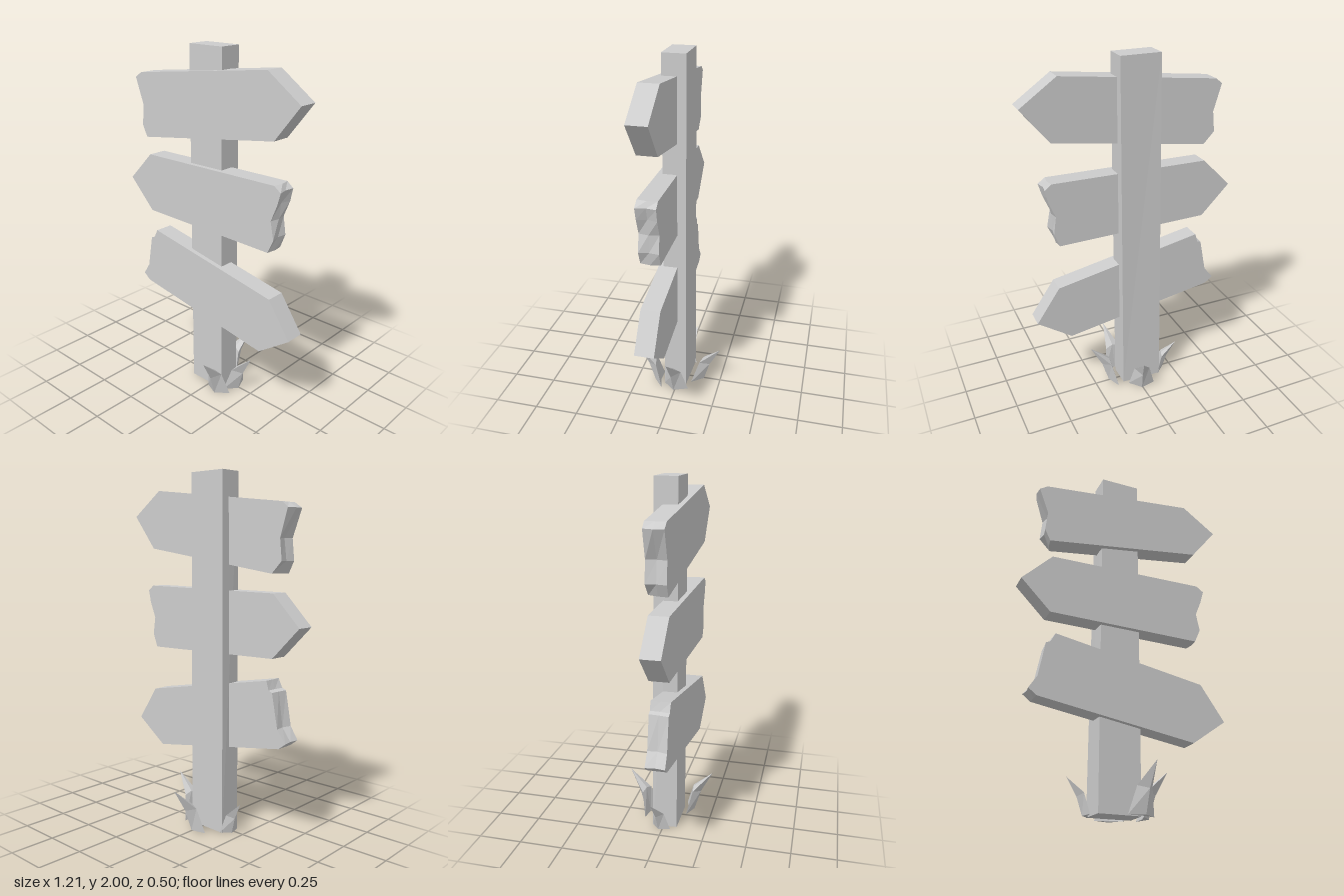
import * as THREE from 'three';

const wood = new THREE.MeshStandardMaterial({ color: 0xcccccc });
wood.name = 'light grey';

function addMesh(parent, name, geometry) {
  const mesh = new THREE.Mesh(geometry, wood);
  mesh.name = name;
  parent.add(mesh);
  return mesh;
}

// Slightly tapering square post
function postGeometry() {
  const geo = new THREE.BoxGeometry(1, 2, 1);
  const p = geo.attributes.position;
  for (let i = 0; i < p.count; i++) {
    const top = p.getY(i) > 0;
    const left = p.getX(i) > 0;
    const front = p.getZ(i) > 0;
    const x = left ? 0.088 : top ? -0.137 : front ? -0.143 : -0.152;
    const z = front ? 0.078 : top ? -0.05 : left ? -0.055 : -0.063;
    p.setXYZ(i, x, top ? 2 : 0, z);
  }
  const flat = geo.toNonIndexed();
  flat.computeVertexNormals();
  return flat;
}

// Arrow plank: [x, y, mid-depth shift, back shift]; the shifts chip the broken end
function boardGeometry(outline) {
  const shape = new THREE.Shape(outline.map(([x, y]) => new THREE.Vector2(x, y)));
  const geo = new THREE.ExtrudeGeometry(shape, { depth: 0.108, steps: 2, bevelEnabled: false });
  const p = geo.attributes.position;
  for (let i = 0; i < p.count; i++) {
    const x = p.getX(i), y = p.getY(i), z = p.getZ(i);
    const c = outline.find((o) => Math.hypot(o[0] - x, o[1] - y) < 1e-4);
    const shift = z < 0.01 ? c[3] : z < 0.1 ? c[2] : 0;
    p.setX(i, x + (shift || 0));
  }
  geo.translate(0, 0, -0.002);
  geo.computeVertexNormals();
  return geo;
}

const boards = {
  topBoard: [
    [-0.49, 1.82], [-0.535, 1.79, -0.005, 0.01], [-0.48, 1.64, 0.012, 0],
    [-0.492, 1.525, 0.01, 0], [-0.46, 1.46, 0.01, 0.03],
    [0.45, 1.59], [0.602, 1.78], [0.4, 1.922],
  ],
  middleBoard: [
    [-0.608, 1.19], [-0.44, 1.02], [0.43, 1.003, 0.008, 0],
    [0.465, 1.08, -0.012, -0.005], [0.445, 1.18, 0.01, 0],
    [0.482, 1.27, -0.015, 0], [0.502, 1.34, -0.012, -0.005],
    [0.46, 1.37, 0.01, 0], [-0.44, 1.36],
  ],
  bottomBoard: [
    [-0.405, 0.9], [-0.43, 0.85, 0.008, 0.01], [-0.455, 0.84, 0.008, 0.012],
    [-0.49, 0.65, 0.015, 0.01], [-0.535, 0.58, 0.008, 0], [-0.49, 0.545],
    [0.39, 0.4], [0.587, 0.54], [0.45, 0.74],
  ],
};

// Pointed leaf lofted from a base ring and a middle ring to a single tip
function leafGeometry() {
  const points = [
    // base ring: side, outer ridge, side, inner crease
    [-0.077, 0, 0], [0, 0, 0.047], [0.077, 0, 0], [0, 0, 0.012],
    // middle ring
    [-0.045, 0.14, 0.038], [0, 0.122, 0.085], [0.045, 0.14, 0.038], [0, 0.155, 0.04],
    // tip
    [0, 0.25, 0.155],
  ];
  const index = [0, 3, 1, 1, 3, 2];
  for (let i = 0; i < 4; i++) {
    const j = (i + 1) % 4;
    index.push(i, j, 4 + j, i, 4 + j, 4 + i, 4 + i, 4 + j, 8);
  }
  const geo = new THREE.BufferGeometry();
  geo.setAttribute('position', new THREE.Float32BufferAttribute(points.flat(), 3));
  geo.setIndex(index);
  const flat = geo.toNonIndexed();
  flat.computeVertexNormals();
  return flat;
}

export function createModel() {
  const model = new THREE.Group();
  model.name = 'signpost';

  addMesh(model, 'post', postGeometry());
  for (const [name, outline] of Object.entries(boards)) {
    addMesh(model, name, boardGeometry(outline));
  }

  // Leaves around the foot: x, z, heading, size
  const leaf = leafGeometry();
  const leaves = {
    frontLeaf: [0.08, 0.092, 0.13, 1],
    backLeaf: [-0.01, -0.105, Math.PI - 0.33, 1],
    leftLeaf: [0.115, 0, 1.41, 1],
    rightLeaf: [-0.155, -0.012, -1.87, 0.77],
  };
  for (const [name, [x, z, heading, size]] of Object.entries(leaves)) {
    const mesh = addMesh(model, name, leaf);
    mesh.position.set(x, 0, z);
    mesh.rotation.y = heading;
    mesh.scale.setScalar(size);
  }
  return model;
}
